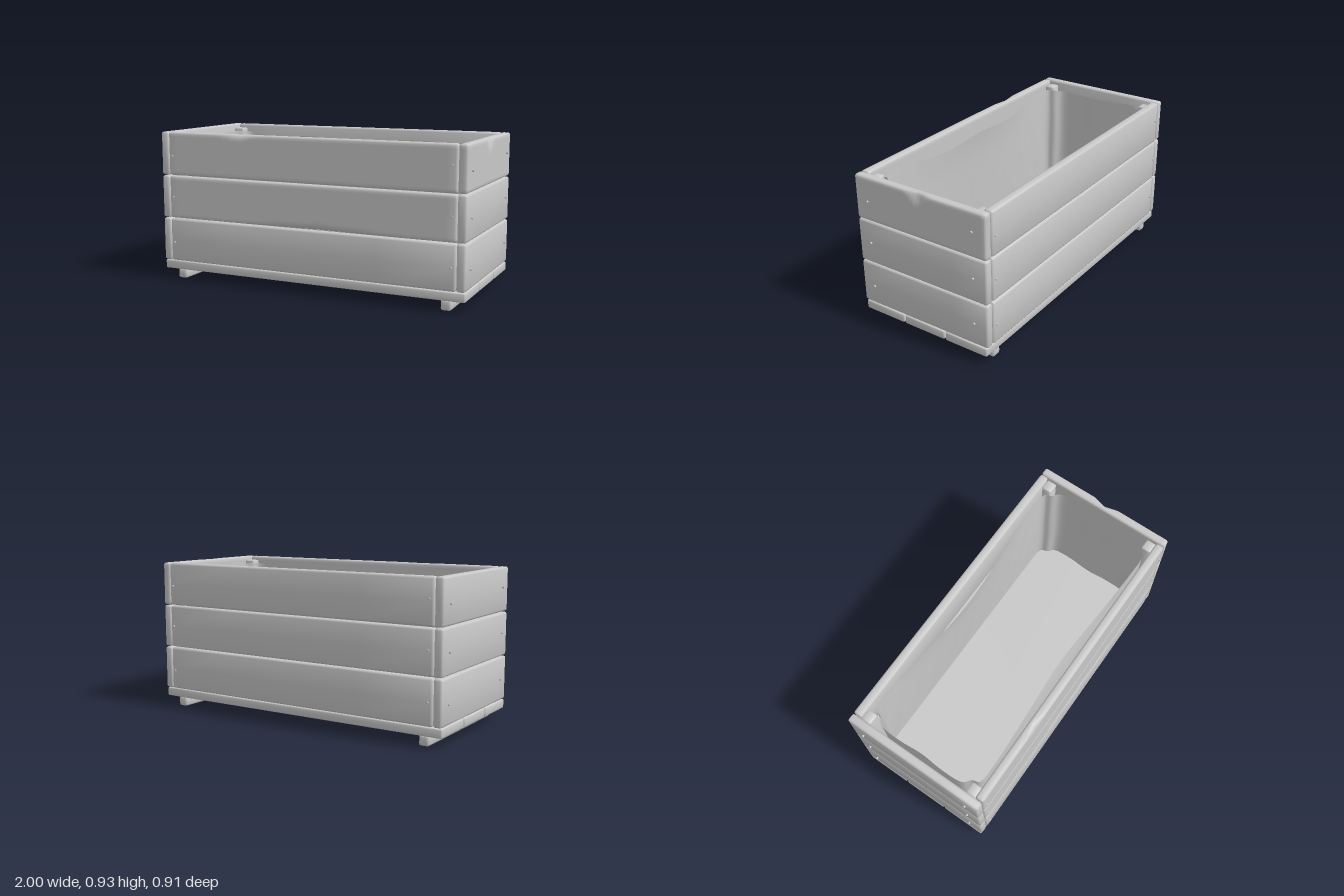
import * as THREE from 'three';
import { toCreasedNormals, mergeVertices } from 'three/addons/utils/BufferGeometryUtils.js';

const wood = new THREE.MeshStandardMaterial({ color: 0xc8c8c8, side: THREE.DoubleSide });
wood.name = 'light grey';

// Board with rounded edges; chips are [x, edge (+1 top, -1 bottom), half width, height, depth] cut into the +z face
function board(w, h, d, r = 0.012, chips = []) {
  const segs = [chips.length ? 42 : 6, chips.length ? 18 : 4, 4];
  const size = [w, h, d];
  const g = new THREE.BoxGeometry(w, h, d, ...segs);
  const pos = g.attributes.position;
  for (let i = 0; i < pos.count; i++) {
    const p = [], q = [];
    for (let a = 0; a < 3; a++) {
      // outermost ring of each face is as wide as the edge radius
      const n = segs[a], half = size[a] / 2, inner = half - r;
      const k = Math.round((pos.getComponent(i, a) / size[a] + 0.5) * n);
      p[a] = k === 0 ? -half : k === n ? half : -inner + (2 * inner * (k - 1)) / (n - 2);
      q[a] = Math.max(-inner, Math.min(inner, p[a]));
    }
    const off = new THREE.Vector3(p[0] - q[0], p[1] - q[1], p[2] - q[2]);
    if (off.lengthSq() > 0) off.setLength(r);
    const v = new THREE.Vector3(...q).add(off);
    if (p[2] > 0) {
      for (const [x, edge, hw, ch, depth] of chips) {
        const s = 1 - Math.abs(v.x - x) / hw - (h / 2 - edge * v.y) / ch;
        v.z -= depth * Math.max(0, s);
      }
    }
    pos.setXYZ(i, v.x, v.y, v.z);
  }
  g.deleteAttribute('uv');
  g.deleteAttribute('normal');
  return toCreasedNormals(mergeVertices(g, 1e-5), 1.0);
}

function add(parent, name, geometry, x, y, z) {
  const m = new THREE.Mesh(geometry, wood);
  m.name = name;
  m.position.set(x, y, z);
  parent.add(m);
  return m;
}

// One wall of three stacked boards with two nails each, facing +z
function wall(name, length, out, nailX, chips) {
  const group = new THREE.Group();
  group.name = name;
  const rows = [[0.118, 0.386], [0.392, 0.656], [0.662, 0.93]];
  const nailY = [[0.235, 0.252], [0.522, 0.535], [0.782, 0.812]];
  const nail = new THREE.CylinderGeometry(0.007, 0.007, 0.02, 10).rotateX(Math.PI / 2);
  rows.forEach(([y0, y1], i) => {
    add(group, 'wallBoard', board(length, y1 - y0, 0.052, 0.012, chips[i] || []),
      0, (y0 + y1) / 2, out - 0.026);
    [-1, 1].forEach((s, j) => add(group, 'nail', nail, s * nailX, nailY[i][j], out));
  });
  return group;
}

// Sagging liner: loops blended from a wavy rim down to the floor
function liner() {
  const quarter = [[0.9, 0], [0.91, 0.15], [0.9, 0.28], [0.862, 0.318], [0.845, 0.36],
    [0.7, 0.368], [0.5, 0.355], [0.25, 0.338], [0, 0.328]];
  const rev = quarter.slice(0, -1).reverse();
  const outline = [
    ...quarter,
    ...rev.map(([x, z]) => [-x, z]),
    ...quarter.slice(1).map(([x, z]) => [-x, -z]),
    ...rev.slice(0, -1).map(([x, z]) => [x, -z]),
  ];
  const curve = new THREE.CatmullRomCurve3(
    outline.map(([x, z]) => new THREE.Vector3(x, 0, z)), true);
  const N = 128, levels = 8, floorY = 0.13;
  const verts = [], index = [];
  for (let l = 0; l <= levels; l++) {
    const t = l / levels;
    for (let i = 0; i < N; i++) {
      const p = curve.getPoint(i / N);
      const corner = Math.min(1, Math.abs(p.x) / 0.86) ** 3;
      const rim = 0.85 + 0.035 * corner + 0.012 * Math.sin(p.x * 9 + p.z * 5);
      const fold = 0.006 * Math.sin(p.x * 17 + t * 3) * Math.sin(t * Math.PI);
      // long sides lean inward at the rim and straighten toward the floor
      const zBase = Math.abs(p.x) < 0.84 ? Math.sign(p.z) * 0.37 : p.z;
      const z = THREE.MathUtils.lerp(p.z, zBase, Math.sqrt(t)) - Math.sign(p.z) * Math.abs(fold);
      verts.push(p.x, THREE.MathUtils.lerp(rim, floorY, t), z);
    }
  }
  for (let l = 0; l < levels; l++) {
    for (let i = 0; i < N; i++) {
      const a = l * N + i, b = l * N + (i + 1) % N;
      index.push(a, b, a + N, b, b + N, a + N);
    }
  }
  verts.push(0, floorY, 0);
  const c = (levels + 1) * N;
  for (let i = 0; i < N; i++) index.push(levels * N + i, levels * N + (i + 1) % N, c);
  const g = new THREE.BufferGeometry();
  g.setAttribute('position', new THREE.Float32BufferAttribute(verts, 3));
  g.setIndex(index);
  return toCreasedNormals(g, 0.9);
}

export function createModel() {
  const model = new THREE.Group();
  model.name = 'planterBox';

  // Long walls
  model.add(wall('frontWall', 1.87, 0.445, 0.908,
    [[], [[0.1, -1, 0.6, 0.03, 0.02]], [[-0.42, 1, 0.12, 0.03, 0.02]]]));
  const back = wall('backWall', 1.87, 0.445, 0.908, []);
  back.rotation.y = Math.PI;
  model.add(back);

  // End walls
  const left = wall('leftWall', 0.888, 0.99, 0.358,
    [[], [], [[0, 1, 0.09, 0.08, 0.025]]]);
  left.rotation.y = Math.PI / 2;
  const right = wall('rightWall', 0.888, 0.99, 0.358, []);
  right.rotation.y = -Math.PI / 2;
  model.add(left, right);

  // Floor boards
  const floorBoard = board(1.98, 0.055, 0.284, 0.008);
  for (const z of [-0.293, 0, 0.293]) add(model, 'floorBoard', floorBoard, 0, 0.0875, z);

  // Feet and corner posts
  const foot = board(0.062, 0.062, 0.84, 0.012);
  const post = board(0.07, 0.785, 0.062, 0.008);
  for (const sx of [-1, 1]) {
    add(model, 'foot', foot, sx * 0.875, 0.031, 0);
    for (const sz of [-1, 1]) add(model, 'cornerPost', post, sx * 0.902, 0.5125, sz * 0.362);
  }

  add(model, 'liner', liner(), 0, 0, 0);
  return model;
}
